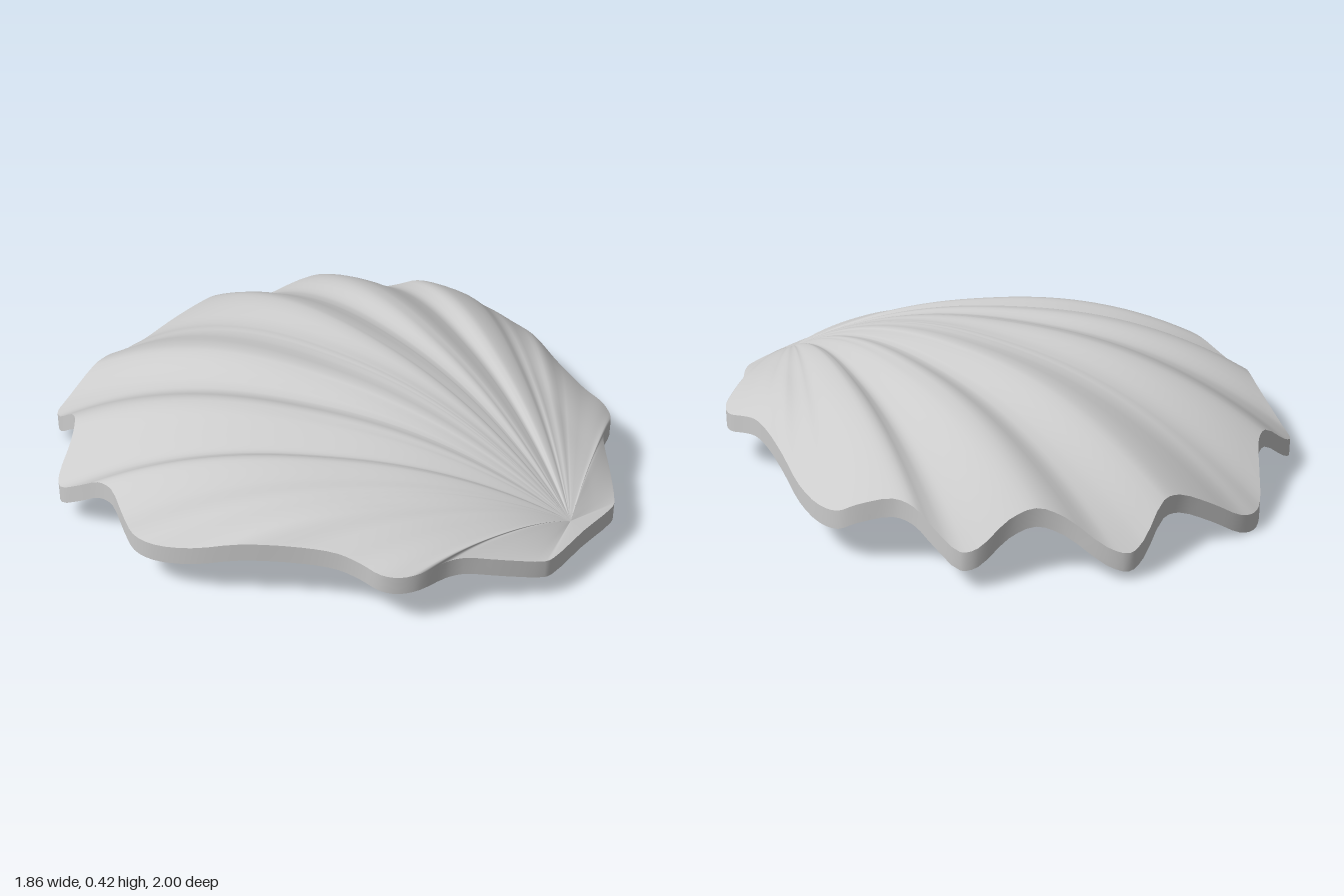
import * as THREE from 'three';
import { mergeVertices } from 'three/addons/utils/BufferGeometryUtils.js';

// Half of the scalloped rim, back tip to front hinge: [x, z, top height, bulge of the ray]
const HALF = [
  [0, -1, 0.05, 0.3], [0.06, -0.985, 0.06, 0.295], [0.15, -0.93, 0.12, 0.27], [0.25, -0.87, 0.175, 0.25],
  [0.32, -0.855, 0.18, 0.24], [0.45, -0.865, 0.1, 0.26], [0.51, -0.855, 0.08, 0.26], [0.55, -0.8, 0.1, 0.25],
  [0.6, -0.68, 0.185, 0.22], [0.65, -0.61, 0.215, 0.2], [0.72, -0.56, 0.19, 0.2], [0.82, -0.52, 0.125, 0.205],
  [0.855, -0.48, 0.115, 0.2], [0.855, -0.38, 0.165, 0.18], [0.85, -0.3, 0.21, 0.165], [0.86, -0.23, 0.22, 0.16],
  [0.91, -0.13, 0.19, 0.155], [0.93, -0.07, 0.16, 0.15], [0.925, 0.01, 0.155, 0.145], [0.88, 0.13, 0.17, 0.125],
  [0.8, 0.27, 0.205, 0.1], [0.7, 0.43, 0.21, 0.075], [0.65, 0.53, 0.205, 0.065], [0.63, 0.6, 0.19, 0.06],
  [0.62, 0.67, 0.175, 0.055], [0.59, 0.72, 0.17, 0.05], [0.54, 0.76, 0.175, 0.045], [0.45, 0.79, 0.18, 0.035],
  [0.4, 0.82, 0.18, 0.03], [0.3, 0.91, 0.155, 0.015], [0.2, 0.99, 0.13, 0], [0.17, 1, 0.13, 0], [0, 1, 0.135, 0],
];
const THICKNESS = 0.062;
const HINGE = new THREE.Vector3(0, 0.15, 0.95);

// Mirror the half rim into closed curves for position and bulge
const rows = [...HALF, ...HALF.slice(1, -1).reverse().map(([x, z, y, b]) => [-x, z, y, b])];
const rim = new THREE.CatmullRomCurve3(rows.map(([x, z, y]) => new THREE.Vector3(x, y, z)), true);
const bulge = (t) => {
  const u = t * rows.length, i = Math.floor(u);
  return THREE.MathUtils.lerp(rows[i % rows.length][3], rows[(i + 1) % rows.length][3], u - i);
};

// Point on the upper surface: s runs from hinge to rim, t around the rim
function shellPoint(s, t) {
  const p = HINGE.clone().lerp(rim.getPoint(t), s);
  p.y += bulge(t) * (1 - Math.pow(Math.abs(2 * s - 1), 2.3));
  return p;
}

// Grid of rings around the hinge, optionally facing the other way
function ringSurface(point, rings, flip) {
  const cols = rows.length * 3, positions = [], index = [];
  for (let i = 0; i <= rings; i++) {
    for (let j = 0; j <= cols; j++) positions.push(...point(i / rings, (j % cols) / cols).toArray());
  }
  const tri = (a, b, c) => (flip ? index.push(a, c, b) : index.push(a, b, c));
  for (let i = 0; i < rings; i++) {
    for (let j = 0; j < cols; j++) {
      const a = i * (cols + 1) + j, b = a + cols + 1;
      if (i > 0 || point === rimPoint) tri(a, a + 1, b + 1);
      tri(a, b + 1, b);
    }
  }
  let geometry = new THREE.BufferGeometry();
  geometry.setAttribute('position', new THREE.Float32BufferAttribute(positions, 3));
  geometry.setIndex(index);
  geometry = mergeVertices(geometry, 1e-5);
  geometry.computeVertexNormals();
  return geometry;
}

const lowered = (p, d) => { p.y -= d; return p; };
const innerPoint = (s, t) => lowered(shellPoint(s, t), THICKNESS);
const rimPoint = (s, t) => lowered(rim.getPoint(t), THICKNESS * s);

export function createModel() {
  const group = new THREE.Group();
  group.name = 'scallopShell';
  const material = new THREE.MeshStandardMaterial({ color: 0xcccccc });
  const add = (name, geometry) => {
    const mesh = new THREE.Mesh(geometry, material);
    mesh.name = name;
    group.add(mesh);
  };
  add('outerShell', ringSurface(shellPoint, 32, false));
  add('innerShell', ringSurface(innerPoint, 32, true));
  add('rimEdge', ringSurface(rimPoint, 1, false));

  // Stand on the ground
  const box = new THREE.Box3().setFromObject(group);
  group.children.forEach((m) => m.geometry.translate(0, -box.min.y, 0));
  return group;
}
